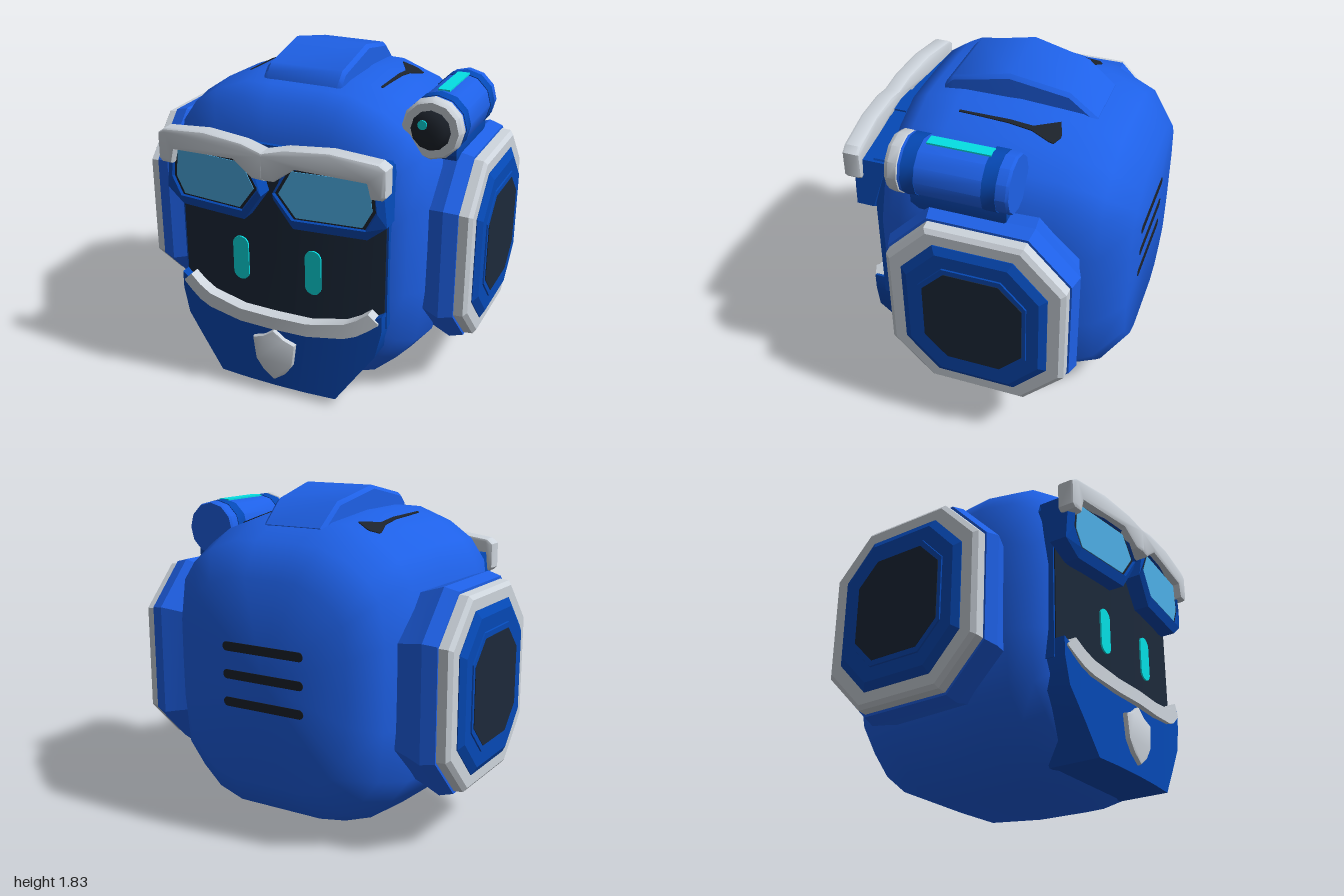
import * as THREE from 'three';
import { toCreasedNormals } from 'three/addons/utils/BufferGeometryUtils.js';

const mat = (name, color) => new THREE.MeshStandardMaterial({ name, color });

export function createModel() {
  const M = {
    blue: mat('bright blue', 0x1f63ec),
    navy: mat('deep blue', 0x0549b6),
    grey: mat('light grey', 0xcdd4dc),
    dark: mat('visor dark', 0x1c293a),
    black: mat('slot black', 0x1d232c),
    teal: mat('teal', 0x04e0e4),
    lens: mat('lens blue', 0x4eb0e8),
  };
  const root = new THREE.Group();
  const add = (name, geo, m, parent = root) => {
    const mesh = new THREE.Mesh(geo, m);
    mesh.name = name;
    parent.add(mesh);
    return mesh;
  };
  const group = (name) => {
    const g = new THREE.Group();
    g.name = name;
    root.add(g);
    return g;
  };

  // Skin a list of rings ([x,y,z] points), cap both ends, face outward
  function loft(rings, crease = 0.4) {
    const n = rings[0].length, pos = rings.flat(2), idx = [];
    for (let r = 0; r < rings.length - 1; r++)
      for (let i = 0; i < n; i++) {
        const a = r * n + i, b = r * n + (i + 1) % n;
        idx.push(a, b, b + n, a, b + n, a + n);
      }
    [0, rings.length - 1].forEach((r) => {
      const c = pos.length / 3;
      pos.push(...[0, 1, 2].map((k) => rings[r].reduce((s, p) => s + p[k], 0) / n));
      for (let i = 0; i < n; i++) {
        const a = r * n + i, b = r * n + (i + 1) % n;
        idx.push(...(r === 0 ? [c, b, a] : [c, a, b]));
      }
    });
    const v = (i) => new THREE.Vector3(...pos.slice(i * 3, i * 3 + 3));
    let volume = 0;
    for (let i = 0; i < idx.length; i += 3) volume += v(idx[i]).dot(v(idx[i + 1]).cross(v(idx[i + 2])));
    if (volume < 0) idx.reverse();
    const g = new THREE.BufferGeometry();
    g.setAttribute('position', new THREE.Float32BufferAttribute(pos, 3));
    g.setIndex(idx);
    return toCreasedNormals(g, crease);
  }

  // Bevelled plate from an outline, swept back to the side by slope
  function plate(pts, z0, z1, bevel = 0, slope = 0, s = 1) {
    const shape = new THREE.Shape(pts.map(([x, y]) => new THREE.Vector2(x * s, y)));
    const g = new THREE.ExtrudeGeometry(shape, {
      depth: z1 - z0 - 2 * bevel, bevelEnabled: bevel > 0, bevelThickness: bevel,
      bevelSize: bevel, bevelOffset: -bevel, bevelSegments: 2,
    });
    g.translate(0, 0, z0 + bevel);
    const p = g.attributes.position;
    for (let i = 0; i < p.count; i++) p.setZ(i, p.getZ(i) - slope * p.getX(i) * s);
    return toCreasedNormals(g, 0.5);
  }

  // Curved band across the face; rows are [x, yBottom, yTop], mirrored about x = 0
  function band(rows, zFront, zBack, curve) {
    const all = [...rows.slice(1).reverse().map(([x, b, t]) => [-x, b, t]), ...rows];
    return loft(all.map(([x, b, t]) => {
      const f = zFront - curve * x * x;
      return [[x, b, f], [x, t, f], [x, t, zBack], [x, b, zBack]];
    }));
  }

  // Head: one faceted outline scaled to sections [z, half width, bottom, top] from back to front
  const outline = [[0, 1], [0.2, 1], [0.4, 0.995], [0.66, 0.91], [0.84, 0.8], [0.95, 0.66], [1, 0.35], [1, 0.05],
    [0.995, -0.25], [0.95, -0.62], [0.8, -0.79], [0.63, -0.93], [0.4, -1], [0.2, -1], [0, -1]];
  const ring = [...outline, ...outline.slice(1, -1).reverse().map(([x, y]) => [-x, y])];
  const sections = [
    [-0.79, 0.5, 0.3, 1.4], [-0.65, 0.64, 0.12, 1.57], [-0.43, 0.7, 0.03, 1.66], [-0.1, 0.725, 0, 1.7],
    [0.2, 0.765, 0, 1.7], [0.38, 0.735, 0.03, 1.68], [0.48, 0.665, 0.09, 1.62], [0.555, 0.6, 0.2, 1.42],
  ];
  add('head', loft(sections.map(([z, w, b, t]) =>
    ring.map(([x, y]) => [w * x, (b + t) / 2 + (t - b) / 2 * y, z])), 1.1), M.blue);
  const headTop = (x, z) => {
    const i = Math.max(1, sections.findIndex((q) => q[0] >= z)), A = sections[i - 1], B = sections[i];
    const [, w, b, t] = A.map((v, k) => v + (B[k] - v) * (z - A[0]) / (B[0] - A[0]));
    const u = Math.abs(x) / w, j = outline.findIndex((q) => q[0] >= u), P = outline[j - 1], Q = outline[j];
    return (b + t) / 2 + (t - b) / 2 * (P[1] + (Q[1] - P[1]) * (u - P[0]) / (Q[0] - P[0]));
  };

  // Crest along the top, slightly narrower at the back
  add('crest', loft([[0.335, 1.67, 0.215], [0.31, 1.72, 0.225], [0.27, 1.76, 0.225], [-0.04, 1.825, 0.225],
    [-0.35, 1.76, 0.2], [-0.5, 1.635, 0.19]].map(([z, y, w]) =>
    [[-w, 1.5, z], [-w, y - 0.02, z], [-w + 0.02, y, z], [w - 0.02, y, z], [w, y - 0.02, z], [w, 1.5, z]]), 0.6), M.blue);

  // Tapered slits on the top, laid on the head surface
  for (const s of [1, -1]) {
    const strip = [[-0.37, 0.37, 0.39], [-0.345, 0.305, 0.432], [-0.32, 0.318, 0.43], [-0.22, 0.372, 0.398],
      [-0.1, 0.375, 0.395], [0.05, 0.378, 0.392], [0.17, 0.38, 0.39]];
    add('topSlit', loft(strip.map(([z, a, b]) => [[a, -0.004], [a, 0.005], [b, 0.005], [b, -0.004]]
      .map(([x, o]) => [s * x, headTop(x, z) + o, z]))), M.black);
  }

  // Vent slots on the back
  const pill = (cx, cy, w, h) => {
    const r = Math.min(w, h) / 2, dx = w / 2 - r, dy = h / 2 - r;
    return Array.from({ length: 20 }, (_, i) => {
      const a = (i + 0.5) / 20 * Math.PI * 2, c = Math.cos(a), d = Math.sin(a);
      return [cx + Math.sign(c) * dx + r * c, cy + Math.sign(d) * dy + r * d];
    });
  };
  for (const y of [0.73, 0.88, 1.03]) add('backVent', plate(pill(0, y, 0.5, 0.05), -0.793, -0.787), M.black);

  // Face: surround, visor, eyes, chin guard, trim and badge
  add('faceSurround', band([[0, 0.45, 1.42], [0.5, 0.45, 1.42], [0.58, 0.5, 1.41], [0.603, 0.5, 1.36]], 0.58, 0.48, 0), M.navy);
  add('visor', band([[0, 0.45, 1.3], [0.2, 0.45, 1.3], [0.4, 0.46, 1.3], [0.53, 0.5, 1.28], [0.592, 0.55, 1.2]], 0.645, 0.5, 0.17), M.dark);
  for (const s of [1, -1]) add('eye', plate(pill(s * 0.213, 0.775, 0.093, 0.255), 0.642, 0.651), M.teal);
  add('chinGuard', band([[0, 0.04, 0.46], [0.18, 0.04, 0.46], [0.35, 0.04, 0.49], [0.46, 0.2, 0.53],
    [0.565, 0.35, 0.58], [0.598, 0.5, 0.6]], 0.685, 0.38, 0.13), M.navy);
  add('mouthTrim', band([[0, 0.42, 0.495], [0.2, 0.42, 0.495], [0.4, 0.445, 0.53], [0.47, 0.47, 0.565],
    [0.53, 0.51, 0.61], [0.582, 0.55, 0.56]], 0.718, 0.58, 0.2), M.grey);
  add('chinBadge', plate([[0, 0.405], [0.06, 0.36], [0.127, 0.337], [0.11, 0.205], [0.065, 0.14], [0, 0.092],
    [-0.065, 0.14], [-0.11, 0.205], [-0.127, 0.337], [-0.06, 0.36]], 0.66, 0.71, 0.01), M.grey);

  // Goggles: frames tapering to the lens, and a bent brow bar
  const frame = [[0.1, 1.4], [0.6, 1.4], [0.63, 1.13], [0.53, 1.05], [0.14, 1.05], [0.035, 1.2]];
  const lens = [[0.135, 1.372], [0.548, 1.372], [0.565, 1.21], [0.515, 1.115], [0.155, 1.115], [0.062, 1.24]];
  const inset = (k) => lens.map(([x, y]) => [0.32 + (x - 0.32) * k, 1.245 + (y - 1.245) * k]);
  const brow = [[-0.015, 1.46], [0, 1.46], [0.12, 1.49], [0.35, 1.505], [0.6, 1.478], [0.64, 1.45], [0.64, 1.31],
    [0.62, 1.29], [0.56, 1.29], [0.54, 1.37], [0.17, 1.39], [0.06, 1.31], [-0.015, 1.31]];
  const goggles = group('goggles');
  for (const s of [1, -1]) {
    const at = (pts, z) => pts.map(([x, y]) => [s * x, y, z - 0.1 * x]);
    const rear = frame.map(([x, y]) => [s * x, y, 0.5 + (1.4 - y) * 0.3]);
    add('goggleFrame', loft([rear, at(frame, 0.74), at(inset(1.08), 0.76), at(inset(1.03), 0.745)], 0.2), M.navy, goggles);
    add('lensRim', plate(inset(1.04), 0.742, 0.748, 0, 0.1, s), M.black, goggles);
    add('lens', plate(inset(0.97), 0.744, 0.752, 0, 0.1, s), M.lens, goggles);
    add('browBar', plate(brow, 0.69, 0.79, 0.018, 0.09, s), M.grey, goggles);
  }
  const bridge = new THREE.BoxGeometry(0.22, 0.1, 0.1);
  bridge.translate(0, 1.36, 0.66);
  add('goggleBridge', bridge, M.navy, goggles);

  // Octagonal ear pods: stacked sections [x, half depth, half height]
  const oct = (s, stack) => loft(stack.map(([x, d, h]) =>
    [[1, 0.56], [0.54, 1], [-0.54, 1], [-1, 0.56], [-1, -0.56], [-0.54, -1], [0.54, -1], [1, -0.56]]
      .map(([a, b]) => [s * x, 0.83 + b * h, -0.11 + a * d])), 0.2);
  for (const s of [1, -1]) {
    const ear = group(s > 0 ? 'leftEar' : 'rightEar');
    add('earBase', oct(s, [[0.6, 0.44, 0.48], [0.73, 0.475, 0.52], [0.82, 0.508, 0.55], [0.895, 0.487, 0.53]]), M.blue, ear);
    add('earRing', oct(s, [[0.88, 0.478, 0.517], [0.945, 0.475, 0.512], [0.963, 0.45, 0.49]]), M.grey, ear);
    add('earCover', oct(s, [[0.94, 0.387, 0.43], [0.967, 0.387, 0.43], [0.99, 0.35, 0.39]]), M.navy, ear);
    add('earPanelRim', oct(s, [[0.98, 0.29, 0.32], [0.997, 0.285, 0.312]]), M.navy, ear);
    add('earPanel', oct(s, [[0.994, 0.265, 0.283], [1, 0.265, 0.283]]), M.dark, ear);
  }

  // Side lamp: turned parts along z, profile points are [radius, z]
  const lamp = group('lamp');
  lamp.position.set(0.727, 1.55, 0);
  const turned = (name, pts, m) => {
    const g = new THREE.LatheGeometry(pts.map(([r, z]) => new THREE.Vector2(r, z)), 12);
    g.rotateX(Math.PI / 2);
    add(name, toCreasedNormals(g, 0.6), m, lamp);
  };
  turned('lampBody', [[0, -0.265], [0.148, -0.265], [0.155, -0.25], [0.155, 0.3], [0, 0.3]], M.blue);
  for (const z of [-0.165, 0.25])
    turned('lampBand', [[0.14, z - 0.035], [0.159, z - 0.035], [0.159, z + 0.035], [0.14, z + 0.035]], M.navy);
  turned('lampRing', [[0.14, 0.295], [0.159, 0.305], [0.159, 0.35], [0.145, 0.372], [0.105, 0.372], [0.1, 0.34]], M.grey);
  turned('lampGlass', [[0, 0.34], [0.108, 0.34], [0.104, 0.375], [0.08, 0.395], [0.04, 0.403], [0, 0.405]], M.black);
  const dot = new THREE.CylinderGeometry(0.025, 0.025, 0.008, 12);
  dot.rotateX(Math.PI / 2).translate(-0.033, 0.035, 0.404);
  add('lampGlint', dot, M.teal, lamp);
  const light = new THREE.BoxGeometry(0.065, 0.009, 0.33);
  light.translate(0, 0.155, 0.025);
  add('lampStrip', light, M.teal, lamp);
  // foot under the lamp, narrowing downwards
  add('lampMount', loft([[-0.1, 0.085, 0.25], [-0.16, 0.085, 0.25], [-0.2, 0.075, 0.21]].map(([y, w, d]) =>
    [[0.02 - w, y, 0.01 - d], [0.02 + w, y, 0.01 - d], [0.02 + w, y, 0.01 + d], [0.02 - w, y, 0.01 + d]])), M.navy, lamp);

  return root;
}
